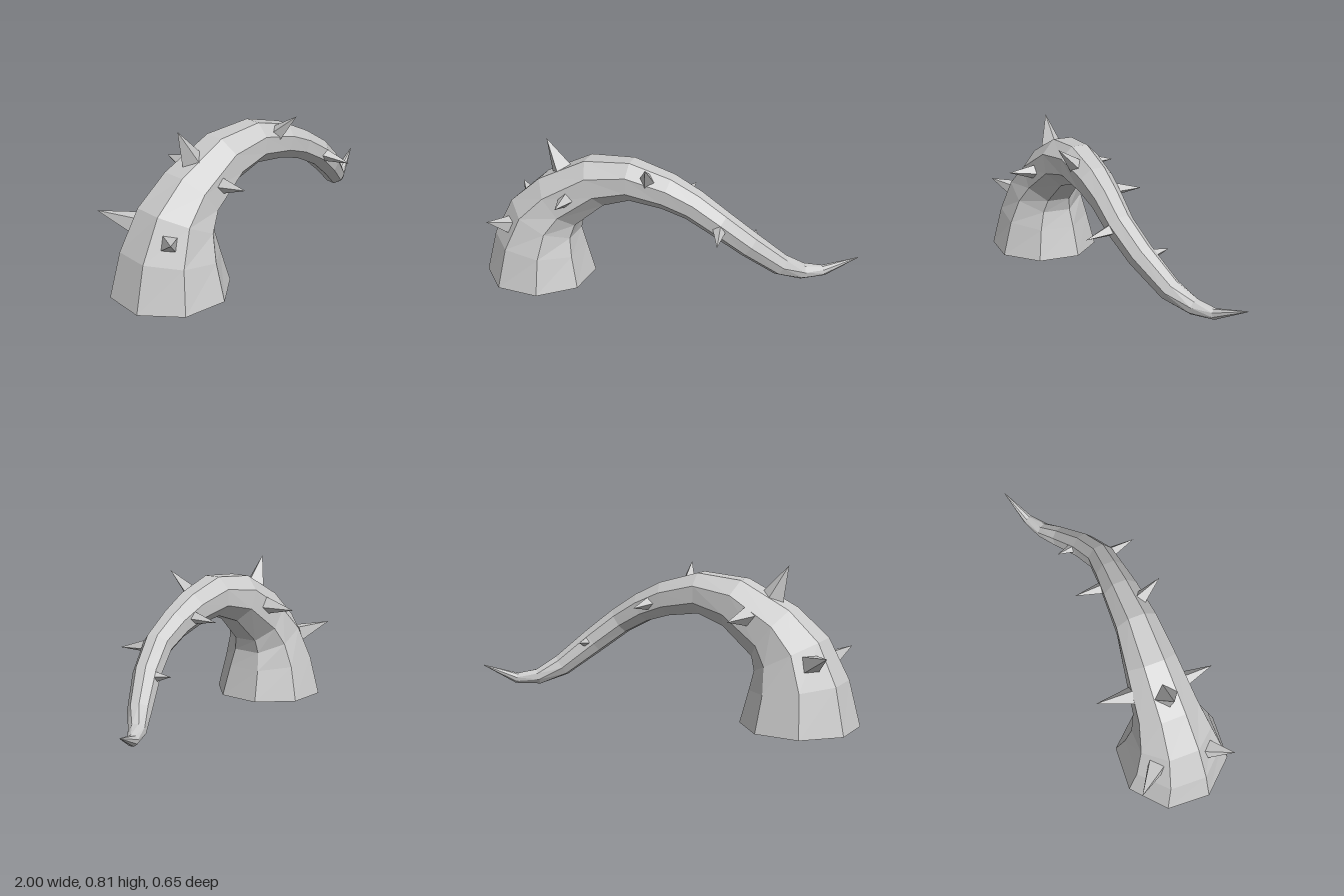
import * as THREE from 'three';

const V = (x, y, z) => new THREE.Vector3(x, y, z);
const SIDES = 8;

// Centreline stations: x, y, z, radius
const STATIONS = [
  [-0.718, 0, 0.03, 0.306], [-0.71, 0.205, 0.03, 0.255], [-0.667, 0.36, 0.03, 0.208],
  [-0.575, 0.47, 0.028, 0.172], [-0.36, 0.608, 0.025, 0.141], [-0.16, 0.645, 0.03, 0.115],
  [0.04, 0.602, 0.025, 0.098], [0.18, 0.545, 0.022, 0.084], [0.32, 0.462, 0.018, 0.076],
  [0.465, 0.345, -0.03, 0.071], [0.622, 0.207, -0.115, 0.06], [0.727, 0.148, -0.19, 0.044],
  [0.83, 0.14, -0.25, 0.028], [0.997, 0.21, -0.325, 0.002],
];

// Spikes: base centre, tip, base radius
const SPIKES = [
  [[-0.565, 0.65, 0.03], [-0.645, 0.81, 0.033], 0.06],
  [[-0.05, 0.68, 0.1], [-0.02, 0.785, 0.208], 0.04],
  [[-0.835, 0.335, 0.185], [-0.905, 0.383, 0.285], 0.045],
  [[-0.835, 0.355, -0.13], [-0.945, 0.408, -0.24], 0.05],
  [[-0.485, 0.53, 0.17], [-0.475, 0.545, 0.322], 0.04],
  [[-0.48, 0.56, -0.11], [-0.455, 0.555, -0.3], 0.05],
  [[0.335, 0.45, 0.075], [0.37, 0.43, 0.225], 0.035],
  [[0.11, 0.578, -0.05], [0.12, 0.57, -0.2], 0.035],
  [[0.478, 0.345, -0.09], [0.465, 0.355, -0.185], 0.028],
];

// Tapered eight-sided tube, open at the foot
function tentacleGeometry() {
  const centres = STATIONS.map(([x, y, z]) => V(x, y, z));
  const last = centres.length - 1;
  const positions = [];
  const index = [];
  centres.forEach((c, i) => {
    const tangent = i === 0 ? V(0, 1, 0)
      : centres[Math.min(i + 1, last)].clone().sub(centres[i - 1]).normalize();
    const side = V(0, 0, 1).addScaledVector(tangent, -tangent.z).normalize();
    const up = side.clone().cross(tangent);
    const twist = -THREE.MathUtils.degToRad(Math.max(0, 3 - i));
    for (let j = 0; j < SIDES; j++) {
      const a = ((j + 0.5) / SIDES) * Math.PI * 2 + twist;
      const p = c.clone()
        .addScaledVector(up, Math.cos(a) * STATIONS[i][3])
        .addScaledVector(side, Math.sin(a) * STATIONS[i][3]);
      positions.push(p.x, p.y, p.z);
      if (i < last) {
        const k = i * SIDES + j;
        const n = i * SIDES + ((j + 1) % SIDES);
        index.push(k, n, n + SIDES, k, n + SIDES, k + SIDES);
      }
    }
  });
  const geometry = new THREE.BufferGeometry();
  geometry.setAttribute('position', new THREE.Float32BufferAttribute(positions, 3));
  geometry.setIndex(index);
  const flat = geometry.toNonIndexed();
  flat.computeVertexNormals();
  return flat;
}

// Four-sided spike, its foot sunk a little into the skin
function makeSpike([base, tip, radius], material) {
  const top = V(...tip);
  const foot = V(...base);
  const axis = top.clone().sub(foot);
  foot.addScaledVector(axis, -0.12);
  const length = top.distanceTo(foot);
  const geometry = new THREE.ConeGeometry(radius * 1.12, length, 4);
  geometry.translate(0, length / 2, 0);
  const spike = new THREE.Mesh(geometry, material);
  spike.position.copy(foot);
  spike.quaternion.setFromUnitVectors(V(0, 1, 0), axis.normalize());
  spike.name = 'spike';
  return spike;
}

export function createModel() {
  const model = new THREE.Group();
  model.name = 'spikedTentacle';
  const skin = new THREE.MeshStandardMaterial({
    color: 0xcccccc, flatShading: true, side: THREE.DoubleSide,
  });
  const horn = new THREE.MeshStandardMaterial({ color: 0xcccccc, flatShading: true });

  const tentacle = new THREE.Mesh(tentacleGeometry(), skin);
  tentacle.name = 'tentacle';
  model.add(tentacle);

  const spikes = new THREE.Group();
  spikes.name = 'spikes';
  SPIKES.forEach((s) => spikes.add(makeSpike(s, horn)));
  model.add(spikes);
  return model;
}
